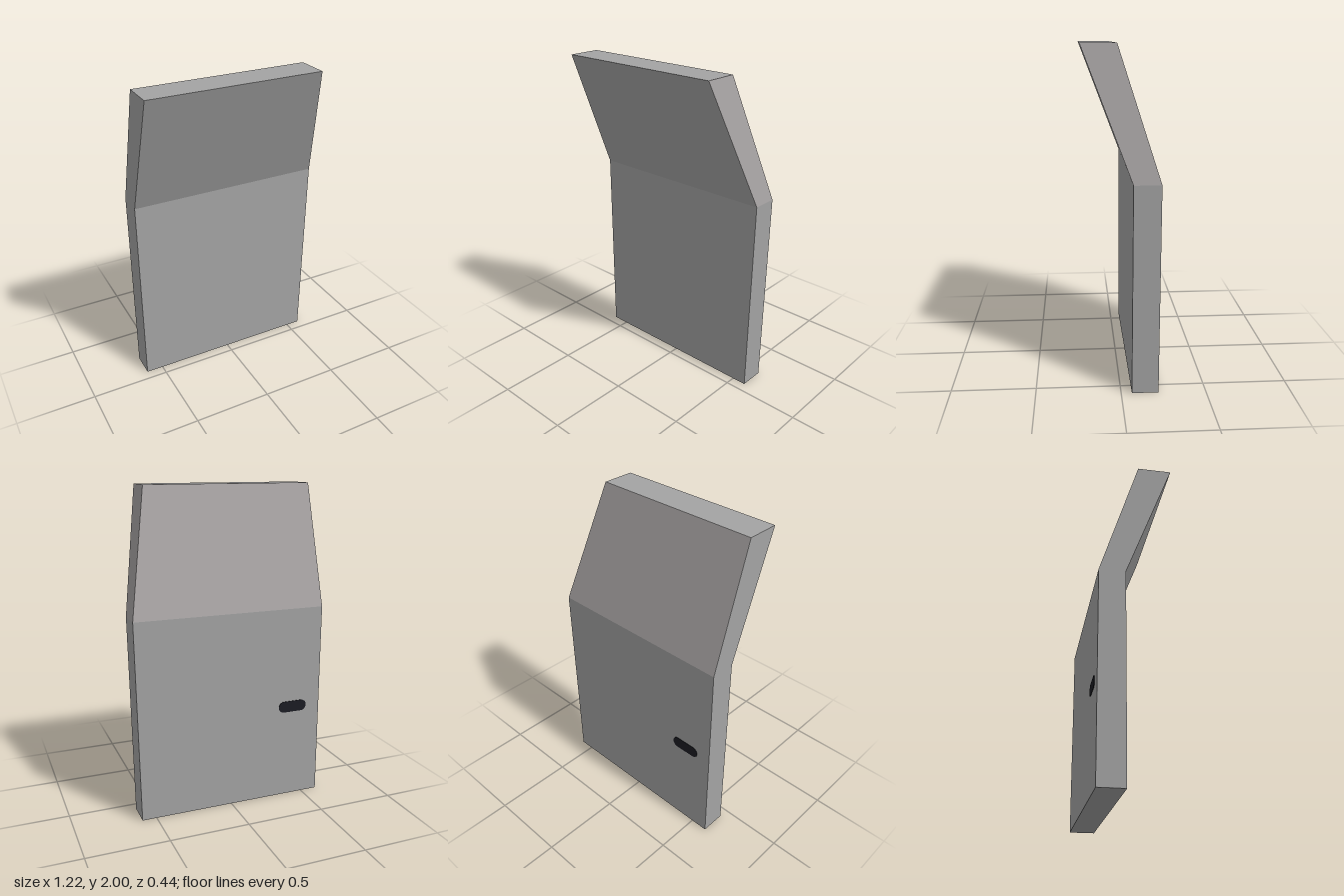
import * as THREE from 'three';

const panelGrey = new THREE.MeshStandardMaterial({ color: 0xa3a3a3 });
panelGrey.name = 'panel grey';
const windowGrey = new THREE.MeshStandardMaterial({ color: 0xa6a2a2 });
windowGrey.name = 'window grey';
const handleDark = new THREE.MeshStandardMaterial({ color: 0x1b1c23 });
handleDark.name = 'handle dark';

// Horizontal cross-sections of the door: height, right and left edge, back and front
const sections = [
  { y: 0, x0: -0.61, x1: 0.59, z0: -0.22, z1: -0.063 },
  { y: 1.25, x0: -0.61, x1: 0.61, z0: -0.22, z1: -0.063 },
  { y: 2, x0: -0.61, x1: 0.465, z0: 0.017, z1: 0.22 },
];

// Corners of a section, anticlockwise seen from above, from the front right
const ring = ({ y, x0, x1, z0, z1 }) => [[x0, y, z1], [x1, y, z1], [x1, y, z0], [x0, y, z0]];

// Flat-faced mesh from quads; each quad carries its material index
function quadMesh(name, quads, materials) {
  const geometry = new THREE.BufferGeometry();
  const points = [];
  quads.forEach(({ corners: [a, b, c, d], material }, i) => {
    points.push(...a, ...b, ...c, ...a, ...c, ...d);
    geometry.addGroup(i * 6, 6, material);
  });
  geometry.setAttribute('position', new THREE.Float32BufferAttribute(points, 3));
  geometry.computeVertexNormals();
  const mesh = new THREE.Mesh(geometry, materials);
  mesh.name = name;
  return mesh;
}

// Four side faces between two sections; outer and left faces may be tinted
function sides(lower, upper, tint) {
  const a = ring(lower), b = ring(upper);
  return a.map((_, i) => {
    const j = (i + 1) % 4;
    return { corners: [a[i], a[j], b[j], b[i]], material: i === 1 || i === 2 ? tint : 0 };
  });
}

export function createModel() {
  const door = new THREE.Group();
  door.name = 'door';
  const [bottom, bend, top] = sections;
  const materials = [panelGrey, windowGrey];

  // Upright lower panel, closed underneath
  door.add(quadMesh('lowerPanel',
    [...sides(bottom, bend, 0), { corners: ring(bottom).reverse(), material: 0 }], materials));

  // Leaning window panel, closed on top
  door.add(quadMesh('windowPanel',
    [...sides(bend, top, 1), { corners: ring(top), material: 0 }], materials));

  // Pill-shaped handle plate on the outer face
  const r = 0.036, half = 0.06;
  const pill = new THREE.Shape();
  pill.absarc(half, 0, r, -Math.PI / 2, Math.PI / 2, false);
  pill.absarc(-half, 0, r, Math.PI / 2, Math.PI * 1.5, false);
  pill.closePath();
  const handle = new THREE.Mesh(
    new THREE.ExtrudeGeometry(pill, { depth: 0.004, bevelEnabled: false, curveSegments: 10 }), handleDark);
  handle.name = 'handle';
  handle.position.set(-0.42, 0.61, -0.223);
  door.add(handle);

  return door;
}
